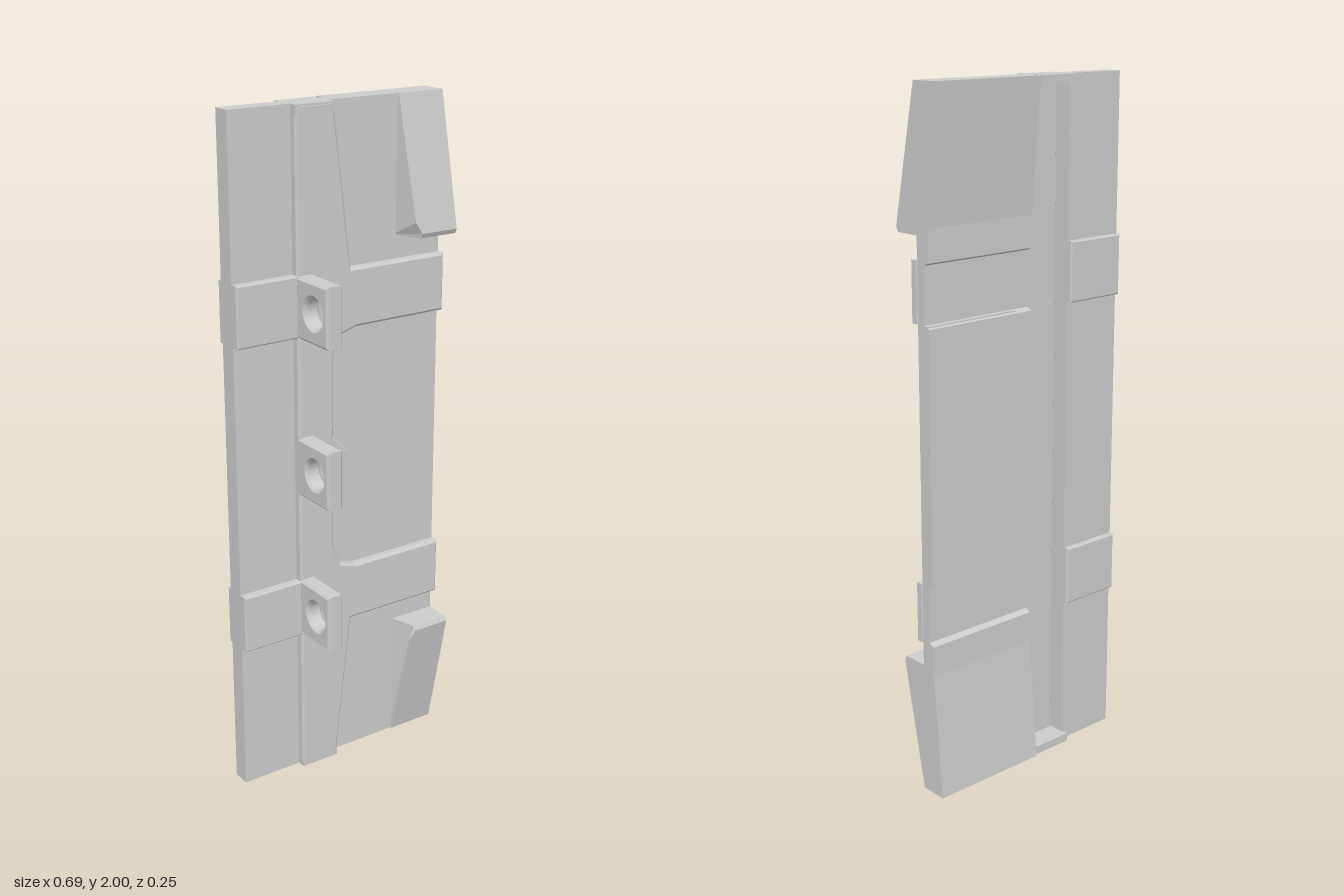
import * as THREE from 'three';

const material = new THREE.MeshStandardMaterial({ color: 0xcccccc, flatShading: true, side: THREE.DoubleSide });

function add(group, name, geometry) {
  geometry.computeVertexNormals();
  const mesh = new THREE.Mesh(geometry, material);
  mesh.name = name;
  group.add(mesh);
}

const toShape = (points) => new THREE.Shape(points.map(([x, y]) => new THREE.Vector2(x, y)));
const rect = (x0, x1, y0, y1) => [[x0, y0], [x1, y0], [x1, y1], [x0, y1]];

// Prism of the given depth with chamfered edges that stay inside the outline
function prism(shape, depth, bevel) {
  return new THREE.ExtrudeGeometry(shape, {
    depth: depth - 2 * bevel, bevelEnabled: bevel > 0, bevelThickness: bevel,
    bevelSize: bevel, bevelOffset: -bevel, bevelSegments: 1, curveSegments: 16,
  }).translate(0, 0, bevel);
}

// Outline drawn in x/y, running from z0 to z1
const slab = (points, z0, z1, bevel = 0) => prism(toShape(points), z1 - z0, bevel).translate(0, 0, z0);

// Outline drawn in z/y, running from x0 to x1
const sideSlab = (shape, x0, x1, bevel = 0) => prism(shape, x1 - x0, bevel).rotateY(-Math.PI / 2).translate(x1, 0, 0);

export function createModel() {
  const model = new THREE.Group();
  model.name = 'panel';
  const edge = 0.346;

  // Notched outline of the central recess, bottom right to top right
  const recess = [
    [edge, 0.635], [0.04, 0.635], [-0.015, 0.652], [-0.038, 0.71], [-0.038, 0.945], [0.018, 1.003],
    [-0.038, 1.06], [-0.038, 1.3], [-0.015, 1.355], [0.04, 1.372], [edge, 1.372],
  ];

  // Raised frame: thin spine with two cross bands
  add(model, 'raisedFrame', slab([
    [-0.155, 0], [-0.033, 0], [0.022, 0.46], [edge, 0.46], ...recess,
    [edge, 1.542], [0.022, 1.542], [-0.033, 2], [-0.155, 2],
  ], -0.052, -0.019, 0.007));
  add(model, 'recessFloor', slab(recess, -0.088, -0.05));
  add(model, 'sideStrip', slab(rect(-edge, -0.152, 0, 2), -0.1, -0.045));

  // Thick back plate: flares at both ends, shallow channels behind the bands
  const lowerBack = [[-0.127, 0], [-0.095, 0.37], [-0.095, 0.46], [-0.077, 0.468], [-0.077, 0.627], [-0.095, 0.635]];
  const upperBack = lowerBack.map(([z, y]) => [z, 2 - y]).reverse();
  add(model, 'backPlate', sideSlab(toShape([[-0.05, 0], ...lowerBack, ...upperBack, [-0.05, 2]]), -0.02, edge));

  for (const [label, flip] of [['upper', (y) => y], ['lower', (y) => 2 - y]]) {
    const mirror = (points) => points.map(([a, y]) => [a, flip(y)]);

    // Floor of the end recess and the cap closing the spine's channel
    add(model, label + 'EndFloor', slab(mirror([[0.02, 1.54], [edge, 1.54], [edge, 2], [-0.035, 2]]), -0.092, -0.05));
    add(model, label + 'EndCap', slab(mirror(rect(-0.155, -0.032, 1.975, 2)), -0.12, -0.02));

    // Corner wedge with a slanted inner side and a clipped corner at its tall end
    const wedge = sideSlab(toShape(mirror([
      [-0.06, 1.608], [0.028, 1.608], [0.035, 1.622], [0.028, 1.655], [-0.045, 2], [-0.06, 2],
    ])), 0.2, edge);
    const p = wedge.attributes.position;
    for (let i = 0; i < p.count; i++) {
      if (p.getX(i) > 0.3) continue;
      const clipped = p.getZ(i) > 0 && Math.abs(p.getY(i) - 1) < 0.63;
      p.setX(i, clipped ? 0.225 : 0.195 + (p.getZ(i) + 0.05) * 0.15);
    }
    add(model, label + 'CornerWedge', wedge);

    // Block that carries the band across the side strip
    add(model, label + 'SideBlock', slab(mirror(rect(-edge, -0.152, 1.37, 1.545)), -0.116, -0.02, 0.004));
  }

  // Three hinge lugs with through holes
  for (const y of [0.548, 0.99, 1.457]) {
    const shape = toShape(rect(-0.04, 0.125, y - 0.088, y + 0.088));
    const hole = new THREE.Path();
    hole.absarc(0.055, y, 0.043, 0, Math.PI * 2, true);
    shape.holes.push(hole);
    add(model, 'hingeLug', sideSlab(shape, -0.155, -0.104, 0.008));
  }

  return model;
}
